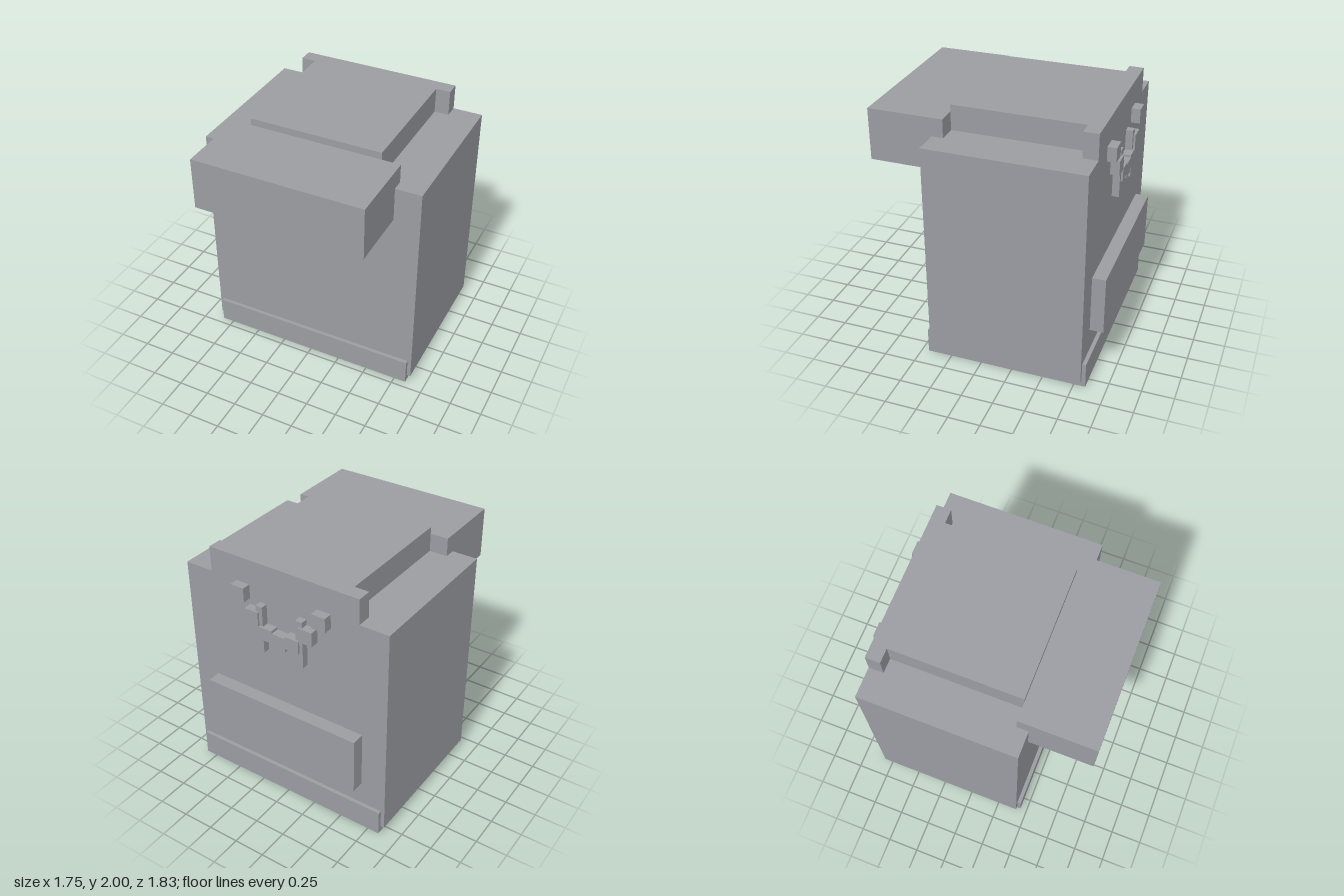
import * as THREE from 'three';

const grey = new THREE.MeshStandardMaterial({ color: 0x9a9ca1 });
grey.name = 'plain grey';

// Box given by its min and max on each axis
function block(name, [x0, x1], [y0, y1], [z0, z1]) {
  const mesh = new THREE.Mesh(new THREE.BoxGeometry(x1 - x0, y1 - y0, z1 - z0), grey);
  mesh.position.set((x0 + x1) / 2, (y0 + y1) / 2, (z0 + z1) / 2);
  mesh.name = name;
  return mesh;
}

// Two blocks mirrored across x = 0
function pair(name, [x0, x1], y, z) {
  return [
    block(name + 'Left', [x0, x1], y, z),
    block(name + 'Right', [-x1, -x0], y, z),
  ];
}

export function createModel() {
  const model = new THREE.Group();
  model.name = 'blockyCabinet';
  const BACK = -0.81;

  // Main body and the base band around its front and back
  model.add(block('body', [-0.875, 0.875], [0.05, 1.8], [BACK, 0.415]));
  model.add(block('base', [-0.845, 0.845], [0, 0.205], [-0.84, 0.445]));

  // T-shaped raised lid, as one outline extruded upward
  const half = [[0.525, 0.325], [0.525, -0.695], [0.64, -0.695], [0.64, BACK]];
  const outline = [...half, ...half.map(([x, z]) => [-x, z]).reverse()];
  const shape = new THREE.Shape(outline.map(([x, z]) => new THREE.Vector2(x, -z)));
  const lidGeometry = new THREE.ExtrudeGeometry(shape, { depth: 0.2, bevelEnabled: false });
  lidGeometry.rotateX(-Math.PI / 2);
  const lid = new THREE.Mesh(lidGeometry, grey);
  lid.position.y = 1.8;
  lid.name = 'lid';
  model.add(lid);

  // Overhanging box at the front and flat panel on the back
  model.add(block('frontOverhang', [-0.67, 0.67], [1.535, 1.945], [0.325, 0.915]));
  model.add(block('backPanel', [-0.67, 0.67], [0.4, 0.865], [-0.915, BACK]));

  // Blocky face on the back
  const face = new THREE.Group();
  face.name = 'backFace';
  const relief = [-0.88, BACK];
  face.add(...pair('eye', [0.293, 0.408], [1.685, 1.8], relief));
  face.add(...pair('mouthCorner', [0.175, 0.293], [1.525, 1.64], relief));
  face.add(...pair('mouthSide', [0.058, 0.175], [1.42, 1.525], relief));
  face.add(block('mouthCentre', [-0.058, 0.058], [1.39, 1.505], relief));
  face.add(...pair('fang', [0.145, 0.203], [1.3, 1.685], [-0.865, BACK]));
  model.add(face);

  return model;
}
